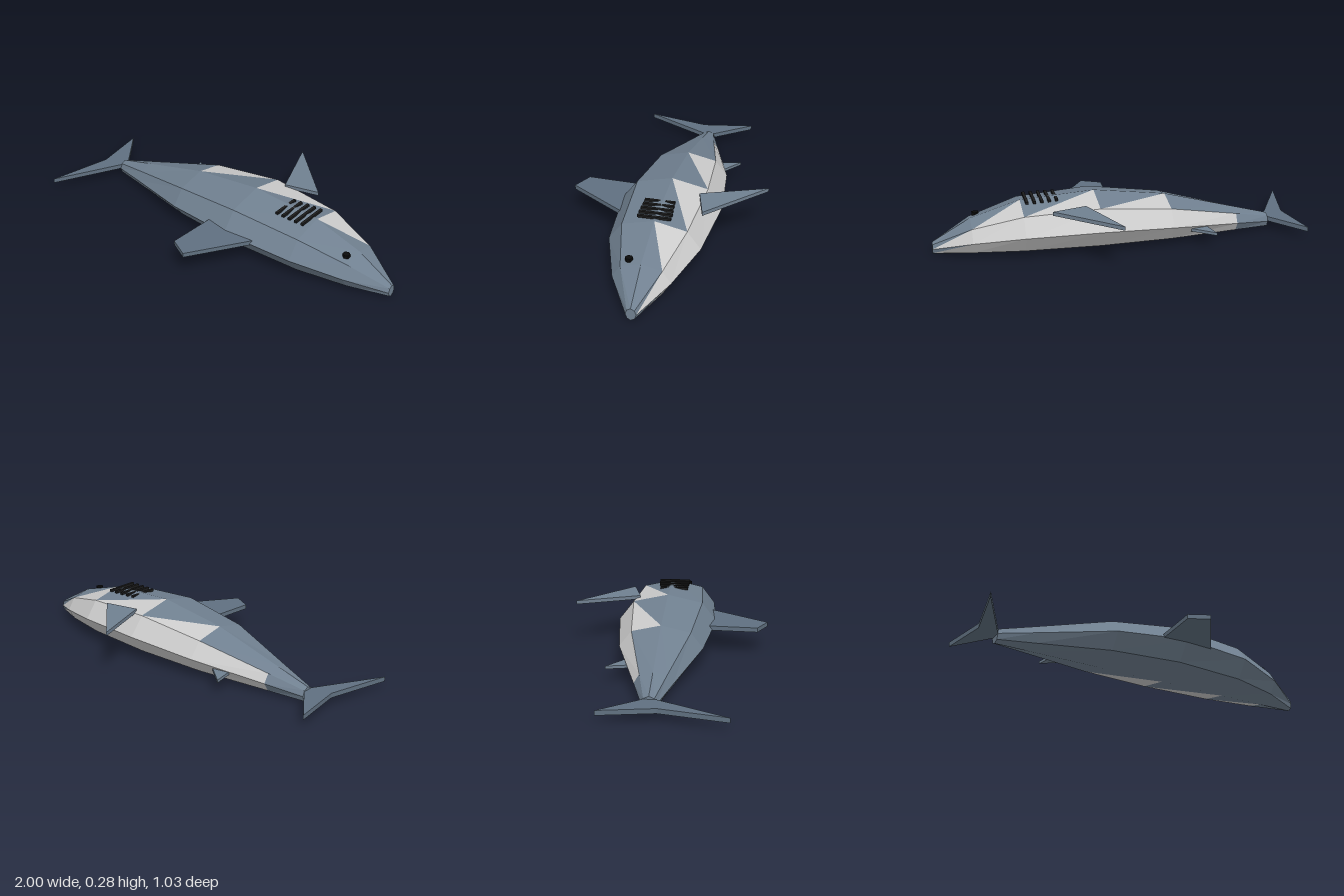
import * as THREE from 'three';

const SIDES = 8, MID_Z = -0.027;
const material = (color) => new THREE.MeshStandardMaterial({ color, flatShading: true });

// Body stations from tail to nose: x, height, half width
const STATIONS = [
  [-0.815, 0.08, 0.037], [-0.62, 0.132, 0.096], [-0.235, 0.235, 0.217], [0.15, 0.285, 0.265],
  [0.54, 0.26, 0.233], [0.8, 0.18, 0.145], [1, 0.065, 0.026],
];

// Corner j of a ring, counted from the upper ridge towards the belly (-z)
function corner([x, h, w], j) {
  const a = (j / SIDES) * Math.PI * 2;
  return new THREE.Vector3(x, h / 2 + (h / 2) * Math.cos(a), MID_Z - w * Math.sin(a));
}

function facetMesh(name, triangles, color) {
  const geometry = new THREE.BufferGeometry().setFromPoints(triangles.flat());
  geometry.computeVertexNormals();
  const mesh = new THREE.Mesh(geometry, material(color));
  mesh.name = name;
  return mesh;
}

// Faceted body, split triangle by triangle into dark back and pale belly
function createBody() {
  const back = [], belly = [];
  const add = (...t) => {
    const z = (t[0].z + t[1].z + t[2].z) / 3 - MID_Z;
    (z < -0.08 ? belly : back).push(t);
  };
  for (let i = 0; i < STATIONS.length - 1; i++) {
    for (let j = 0; j < SIDES; j++) {
      const a = corner(STATIONS[i], j), b = corner(STATIONS[i + 1], j);
      const c = corner(STATIONS[i + 1], j + 1), d = corner(STATIONS[i], j + 1);
      add(a, b, c);
      add(a, c, d);
    }
  }
  // Tail and nose caps
  const tail = STATIONS[0], nose = STATIONS[STATIONS.length - 1];
  for (let j = 1; j < SIDES - 1; j++) {
    add(corner(tail, 0), corner(tail, j), corner(tail, j + 1));
    add(corner(nose, 0), corner(nose, j + 1), corner(nose, j));
  }
  const body = new THREE.Group();
  body.name = 'body';
  body.add(facetMesh('back', back, 0x708090), facetMesh('belly', belly, 0xc0c0c0));
  return body;
}

// Flat fin: outline in x, z with its upper face at height top
function createFin(name, outline, top, thickness, color) {
  const shape = new THREE.Shape(outline.map(([x, z]) => new THREE.Vector2(x, z)));
  const geometry = new THREE.ExtrudeGeometry(shape, { depth: thickness, bevelEnabled: false });
  geometry.rotateX(Math.PI / 2);
  const fin = new THREE.Mesh(geometry, material(color));
  fin.name = name;
  fin.position.y = top;
  return fin;
}

export function createModel() {
  const model = new THREE.Group();
  model.name = 'shark';
  model.add(createBody());

  // Fins
  model.add(
    createFin('dorsalFin', [[0.025, 0.15], [0.01, 0.463], [0.115, 0.515], [0.315, 0.21]], 0.155, 0.024, 0x607080),
    createFin('pectoralFin', [[0.09, -0.52], [0.4, -0.235], [0.22, -0.185]], 0.255, 0.02, 0x708090),
    createFin('analFin', [[-0.455, -0.285], [-0.34, -0.195], [-0.43, -0.17]], 0.087, 0.016, 0x708090),
    createFin('tailFin', [[-0.97, -0.26], [-0.81, -0.05], [-0.81, 0], [-1, 0.36], [-0.922, 0.02]], 0.065, 0.025, 0x607080),
  );

  // Gill slits
  const gills = new THREE.Group();
  gills.name = 'gills';
  const lengths = [0.155, 0.16, 0.165, 0.17, 0.17];
  lengths.forEach((length, i) => {
    const slit = new THREE.Mesh(new THREE.BoxGeometry(0.015, 0.012, length), material(0x1c1c1c));
    slit.name = 'gillSlit';
    slit.position.set(0.355 + i * 0.039, 0.263, -0.011 - i * 0.002);
    gills.add(slit);
  });
  model.add(gills);

  // Eye
  const eye = new THREE.Mesh(new THREE.CylinderGeometry(0.02, 0.02, 0.018, 6), material(0x0a0a0a));
  eye.name = 'eye';
  eye.position.set(0.768, 0.179, 0.04);
  model.add(eye);

  return model;
}
